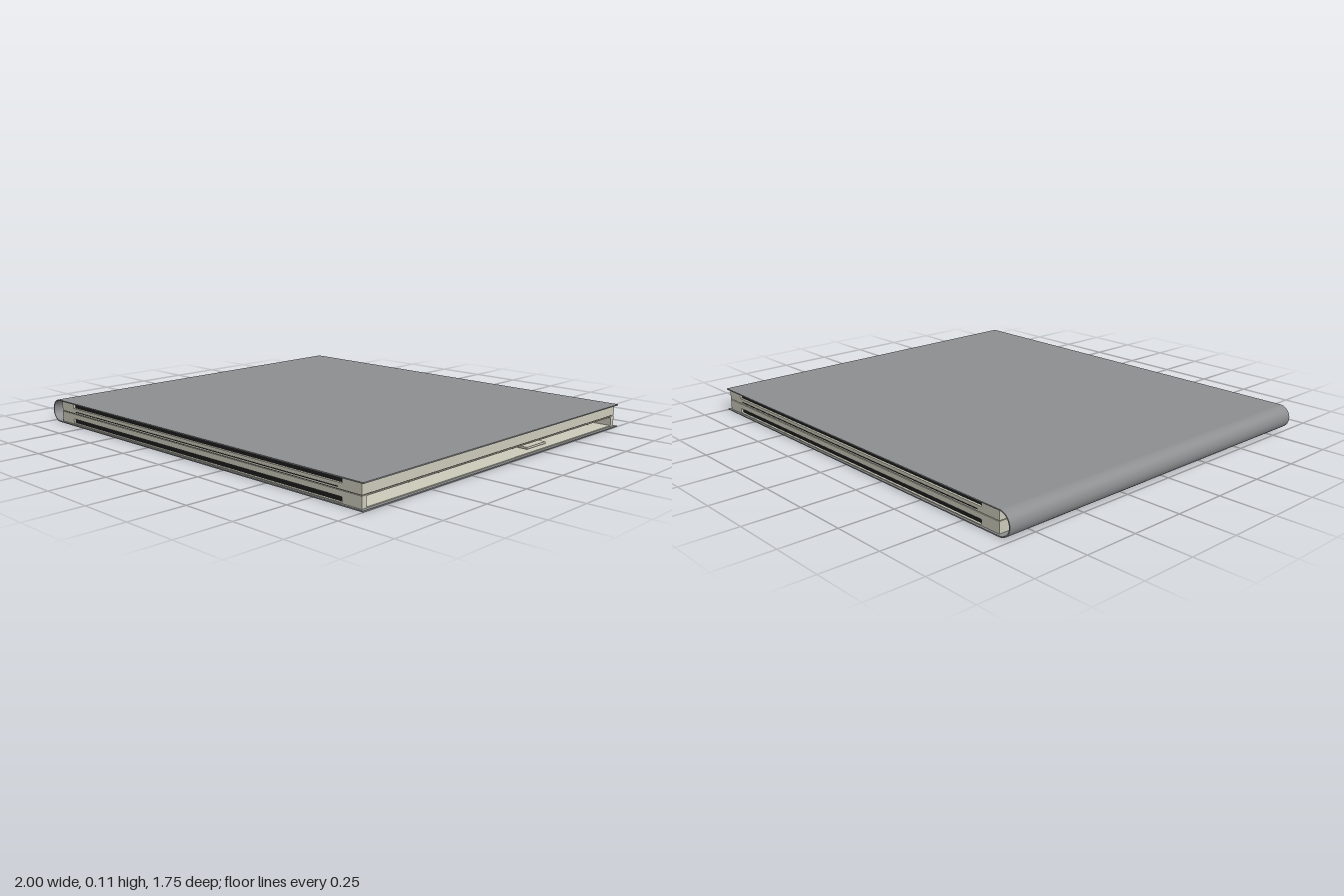
import * as THREE from 'three';

const paint = (color, extra = {}) => new THREE.MeshStandardMaterial({ color, ...extra });
const coverMat = paint(0x8c8d8f, { side: THREE.DoubleSide });
const trayMat = paint(0xc9c8b8);
const darkMat = paint(0x1c1c1c);

// box given by its limits on each axis
function slab(name, [x0, x1], [y0, y1], [z0, z1], mat) {
  const mesh = new THREE.Mesh(new THREE.BoxGeometry(x1 - x0, y1 - y0, z1 - z0), mat);
  mesh.position.set((x0 + x1) / 2, (y0 + y1) / 2, (z0 + z1) / 2);
  mesh.name = name;
  return mesh;
}

// thin sheet folded round a half-circle spine
function makeCover() {
  const H = 0.107, r = H / 2, t = 0.005, cx = -1 + r;
  const s = new THREE.Shape();
  s.moveTo(1, 0);
  s.lineTo(cx, 0);
  s.absarc(cx, r, r, -Math.PI / 2, -Math.PI * 1.5, true);
  s.lineTo(1, H);
  s.lineTo(1, H - t);
  s.lineTo(cx, H - t);
  s.absarc(cx, r, r - t, Math.PI / 2, Math.PI * 1.5, false);
  s.lineTo(1, t);
  s.closePath();
  const geo = new THREE.ExtrudeGeometry(s, { depth: 1.75, bevelEnabled: false, curveSegments: 24 });
  geo.translate(0, 0, -0.875);
  const mesh = new THREE.Mesh(geo, coverMat);
  mesh.name = 'foldedCover';
  return mesh;
}

export function createModel() {
  const model = new THREE.Group();
  model.add(makeCover());
  const X = [-0.935, 0.985], Z = [-0.865, 0.865], zIn = [-0.855, 0.855];

  // upper tray: solid slab, dark slots along front and back, closed sides
  const upper = new THREE.Group();
  upper.name = 'upperTray';
  upper.add(
    slab('upperSlab', X, [0.056, 0.08], Z, trayMat),
    slab('upperSlot', [-0.84, 0.89], [0.08, 0.099], zIn, darkMat),
    slab('upperLid', X, [0.098, 0.102], Z, trayMat),
    slab('upperSpineEnd', [-0.935, -0.84], [0.08, 0.098], Z, trayMat),
    slab('upperOpenEnd', [0.89, 0.985], [0.08, 0.098], Z, trayMat));
  model.add(upper);

  // lower tray: same slots, with a wide recess on the opening side
  const lower = new THREE.Group();
  lower.name = 'lowerTray';
  lower.add(
    slab('lowerTop', X, [0.049, 0.053], Z, trayMat),
    slab('lowerSlab', [-0.935, 0.89], [0.03, 0.049], Z, trayMat),
    slab('lowerSlot', [-0.84, 0.89], [0.009, 0.03], zIn, darkMat),
    slab('lowerFloor', X, [0.005, 0.009], Z, trayMat),
    slab('lowerSpineEnd', [-0.935, -0.84], [0.009, 0.03], Z, trayMat),
    slab('recessBack', [0.88, 0.9], [0.009, 0.049], [-0.84, 0.84], darkMat),
    slab('recessTab', [0.9, 0.96], [0.014, 0.023], [-0.33, -0.19], trayMat));
  for (const s of [-1, 1]) {
    const z = s > 0 ? [0.84, 0.865] : [-0.865, -0.84];
    lower.add(slab('cornerPost', [0.89, 0.985], [0.009, 0.049], z, trayMat));
  }
  model.add(lower);

  // thin dark seams along the front and back edges
  for (const s of [-1, 1]) {
    const z = s > 0 ? [0.86, 0.867] : [-0.867, -0.86];
    model.add(slab('traySeam', [-0.82, 0.87], [0.063, 0.066], z, darkMat));
  }
  model.add(slab('middleSeam', [-0.93, 0.98], [0.053, 0.056], [-0.86, 0.86], darkMat));
  return model;
}
